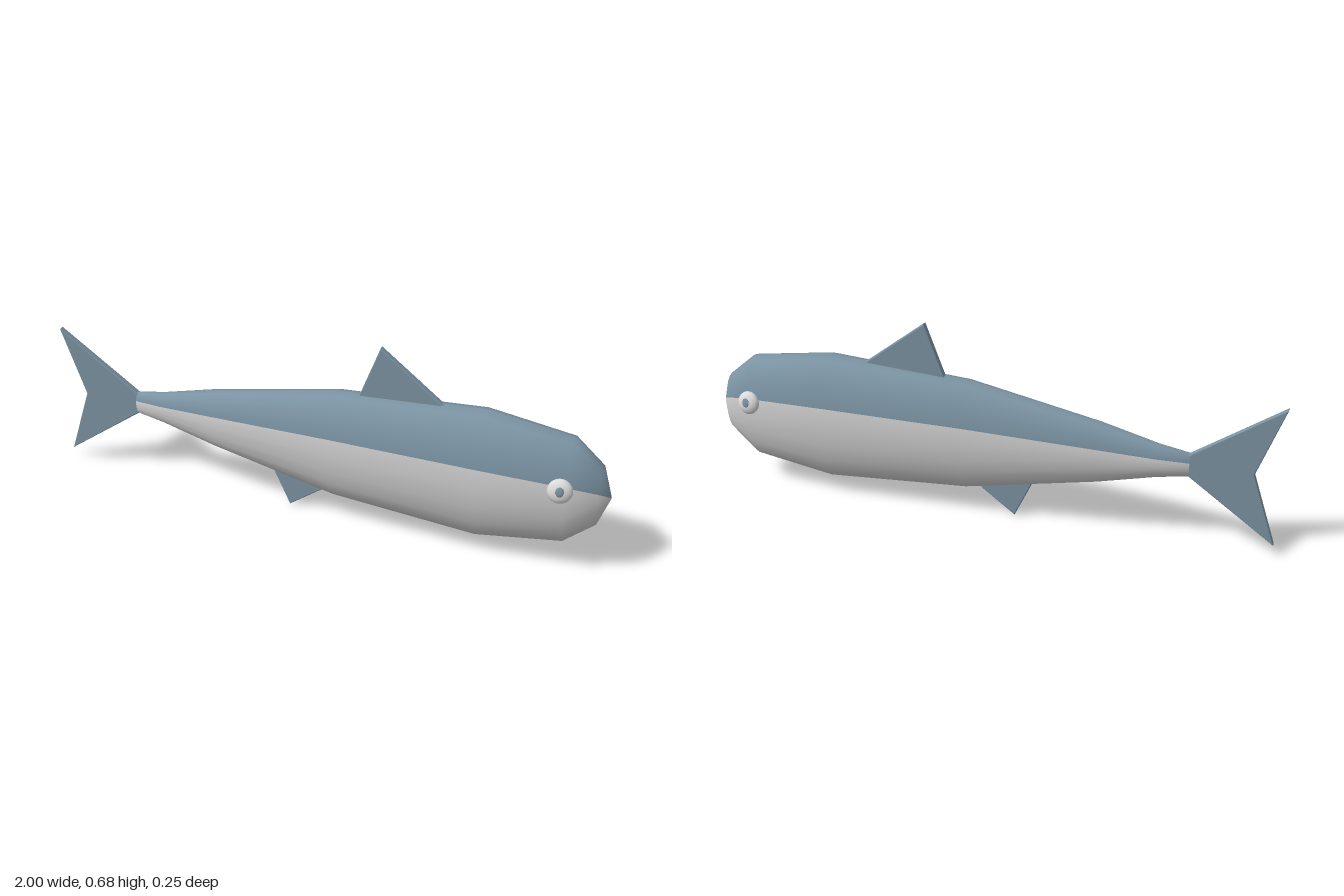
import * as THREE from 'three';

const SIDES = 20;
// Body sections from tail to nose: x, bottom, top, half width
const SECTIONS = [
  [-0.705, 0.29, 0.292, 0.001], [-0.705, 0.248, 0.333, 0.02], [-0.6, 0.23, 0.35, 0.035],
  [-0.4, 0.18, 0.4, 0.06], [0.06, 0.086, 0.49, 0.1], [0.57, 0.05, 0.522, 0.118],
  [0.86, 0.095, 0.48, 0.097], [0.96, 0.18, 0.395, 0.055], [0.995, 0.284, 0.288, 0.002],
];

function bodyGeometry() {
  const positions = [], index = [];
  for (const [x, bottom, top, w] of SECTIONS) {
    for (let j = 0; j < SIDES; j++) {
      const a = (j / SIDES) * Math.PI * 2;
      positions.push(x, (top + bottom) / 2 + ((top - bottom) / 2) * Math.cos(a), w * Math.sin(a));
    }
  }
  const geometry = new THREE.BufferGeometry();
  // Back colour covers four sides either way from the top, belly the rest
  [[-4, 4], [4, 16]].forEach(([from, to], material) => {
    const start = index.length;
    for (let i = 0; i < SECTIONS.length - 1; i++) {
      for (let j = from; j < to; j++) {
        const p = i * SIDES + ((j + SIDES) % SIDES);
        const q = i * SIDES + ((j + 1 + SIDES) % SIDES);
        index.push(p, q, p + SIDES, q, q + SIDES, p + SIDES);
      }
    }
    geometry.addGroup(start, index.length - start, material);
  });
  geometry.setAttribute('position', new THREE.Float32BufferAttribute(positions, 3));
  geometry.setIndex(index);
  geometry.computeVertexNormals();
  return geometry;
}

// Flat fin with softened edges, outlined in the xy plane
function fin(name, points, material) {
  const shape = new THREE.Shape(points.map(([x, y]) => new THREE.Vector2(x, y)));
  const geometry = new THREE.ExtrudeGeometry(shape, {
    depth: 0.014, bevelThickness: 0.004, bevelSize: 0.004, bevelOffset: -0.004, bevelSegments: 2,
  });
  geometry.translate(0, 0, -0.007);
  const mesh = new THREE.Mesh(geometry, material);
  mesh.name = name;
  return mesh;
}

export function createModel() {
  const blue = new THREE.MeshStandardMaterial({ name: 'slate blue', color: 0x7b93a3 });
  const pale = new THREE.MeshStandardMaterial({ name: 'pale belly', color: 0xcfcfcf });
  const white = new THREE.MeshStandardMaterial({ name: 'eye white', color: 0xdcdcdc });

  const model = new THREE.Group();
  model.name = 'fish';

  const body = new THREE.Mesh(bodyGeometry(), [blue, pale]);
  body.name = 'body';
  model.add(body);

  model.add(
    fin('tailFin', [[-0.69, 0.26], [-0.69, 0.322], [-1, 0.535], [-0.915, 0.29], [-1, 0.04]], blue),
    fin('dorsalFin', [[0.13, 0.46], [0.43, 0.46], [0.43, 0.51], [0.212, 0.677]], blue),
    fin('ventralFin', [[-0.19, 0.17], [-0.112, 0], [0.01, 0.09], [0.01, 0.17]], blue),
  );

  // Eyes: flattened balls, turned a little toward the nose
  for (const side of [1, -1]) {
    const eye = new THREE.Group();
    eye.name = side > 0 ? 'rightEye' : 'leftEye';
    eye.position.set(0.845, 0.337, side * 0.1);
    eye.rotation.set(side * -0.2, side * 0.12, 0);

    const ball = new THREE.Mesh(new THREE.SphereGeometry(0.041, 20, 14), white);
    ball.name = 'eyeball';
    ball.scale.z = 0.52;
    const pupil = new THREE.Mesh(new THREE.SphereGeometry(0.014, 14, 8), blue);
    pupil.name = 'pupil';
    pupil.scale.set(1, 1.2, 0.25);
    pupil.position.set(0, 0.003, side * 0.0196);
    eye.add(ball, pupil);
    model.add(eye);
  }
  return model;
}
